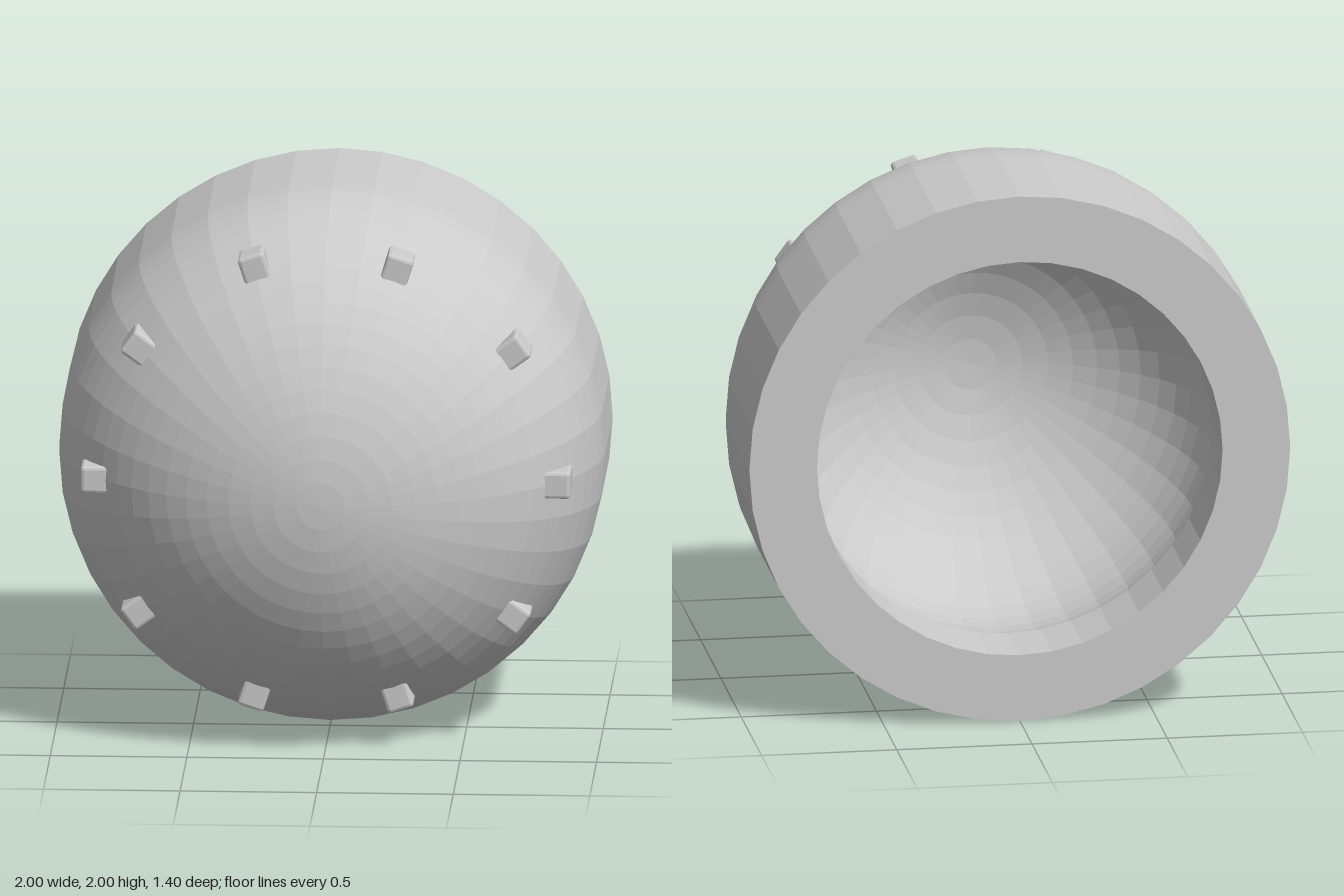
import * as THREE from 'three';
import { RoundedBoxGeometry } from 'three/addons/geometries/RoundedBoxGeometry.js';

const material = new THREE.MeshStandardMaterial({ color: 0xcccccc, flatShading: true });

// Points on an elliptical arc, angle measured from the rim plane to the pole
function arc(radius, depth, centre, from, to, steps) {
  return Array.from({ length: steps + 1 }, (_, i) => {
    const a = from + (to - from) * i / steps;
    return new THREE.Vector2(Math.max(0, radius * Math.cos(a)), centre + depth * Math.sin(a));
  });
}

export function createModel() {
  const model = new THREE.Group();
  const pole = Math.PI / 2, centre = -0.17;

  // Hollow dome: cavity, straight mouth, flat back rim, straight wall, outer dome
  const profile = [
    ...arc(0.8, 0.7, centre, pole, -Math.acos(0.75 / 0.8), 16),
    new THREE.Vector2(0.75, -0.7),
    new THREE.Vector2(1, -0.7),
    ...arc(1, 0.87, centre, 0, pole, 18),
  ];
  const domeGeometry = new THREE.LatheGeometry(profile, 40).rotateX(Math.PI / 2);
  const dome = new THREE.Mesh(domeGeometry, material);
  dome.name = 'hollowDome';
  dome.position.y = 1;
  model.add(dome);

  // Ring of ten small studs set into the dome
  const studs = new THREE.Group();
  studs.name = 'studRing';
  studs.position.y = 1;
  const studGeometry = new RoundedBoxGeometry(0.13, 0.1, 0.19, 1, 0.012).translate(0.832, 0, 0.25);
  for (let i = 0; i < 10; i++) {
    const stud = new THREE.Mesh(studGeometry, material);
    stud.name = 'stud';
    stud.rotation.z = i * Math.PI / 5;
    studs.add(stud);
  }
  model.add(studs);
  return model;
}
